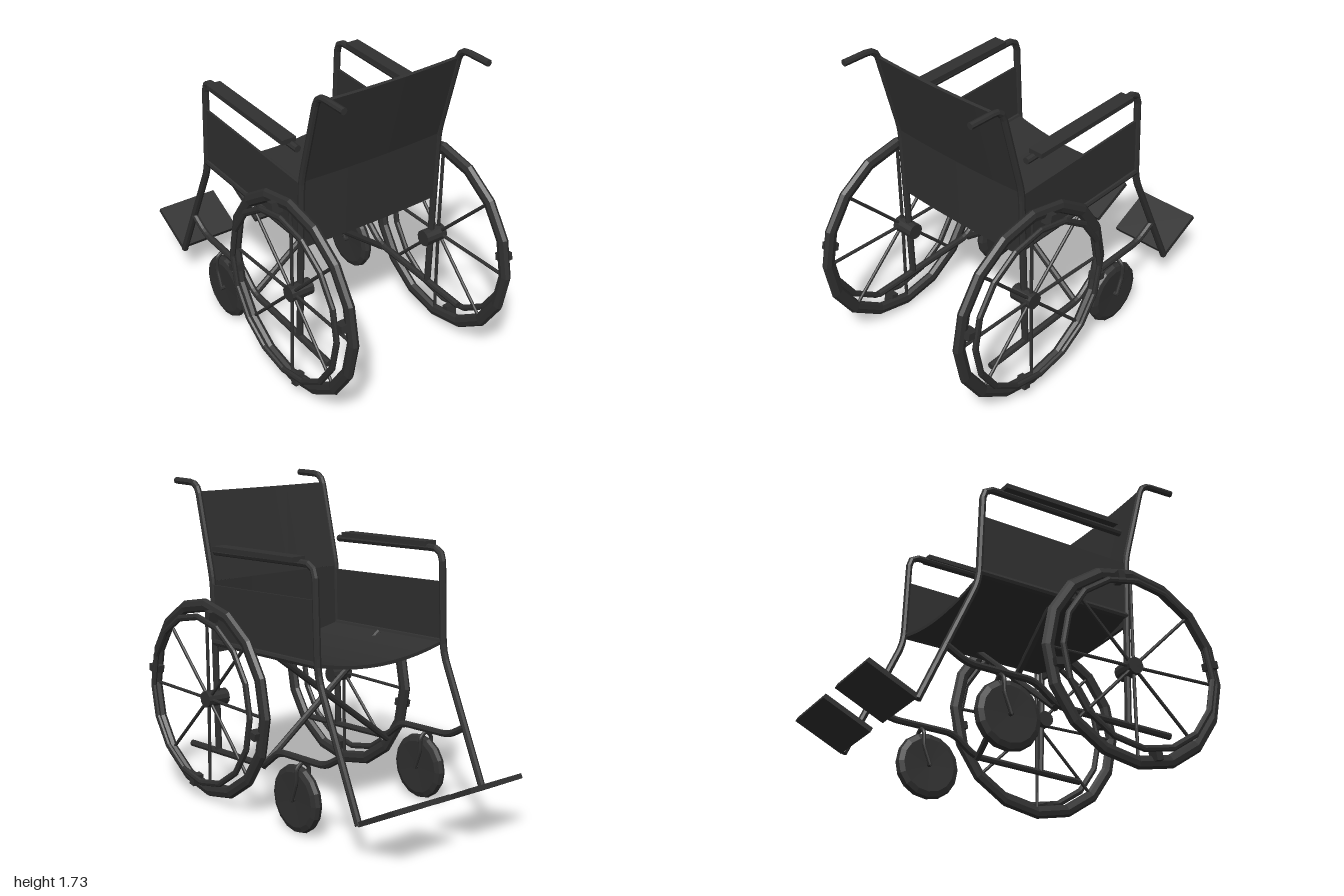
import * as THREE from 'three';
import { mergeGeometries } from 'three/addons/utils/BufferGeometryUtils.js';

const V = (x, y, z) => new THREE.Vector3(x, y, z);
const charcoal = new THREE.MeshStandardMaterial({ color: 0x303030, flatShading: true });
charcoal.name = 'charcoal';

function add(parent, name, geometry) {
  const mesh = new THREE.Mesh(geometry, charcoal);
  mesh.name = name;
  parent.add(mesh);
  return mesh;
}

// Capped tube through points, with every inner corner rounded by `bend`
function tube(points, radius = 0.018, bend = 0.06) {
  const path = new THREE.CurvePath();
  let from = points[0];
  for (let i = 1; i < points.length - 1; i++) {
    const p = points[i];
    const before = p.clone().add(points[i - 1].clone().sub(p).setLength(bend));
    const after = p.clone().add(points[i + 1].clone().sub(p).setLength(bend));
    path.add(new THREE.LineCurve3(from, before));
    path.add(new THREE.QuadraticBezierCurve3(before, p, after));
    from = after;
  }
  path.add(new THREE.LineCurve3(from, points[points.length - 1]));
  const parts = [new THREE.TubeGeometry(path, points.length > 2 ? 48 : 1, radius, 8)];
  for (const t of [0, 1]) {
    const out = path.getTangent(t).multiplyScalar(t ? 1 : -1);
    const cap = new THREE.CircleGeometry(radius, 8);
    cap.applyQuaternion(new THREE.Quaternion().setFromUnitVectors(V(0, 0, 1), out));
    const end = path.getPoint(t);
    parts.push(cap.translate(end.x, end.y, end.z));
  }
  return mergeGeometries(parts);
}

// Ring standing in the y-z plane, with its tube squashed across x
function ring(radius, thickness, halfWidth) {
  return new THREE.TorusGeometry(radius, thickness, 8, 16)
    .scale(1, 1, halfWidth / thickness).rotateY(Math.PI / 2);
}

// Large wheel with spokes, hub and push rim
function driveWheel(s) {
  const wheel = new THREE.Group();
  wheel.name = 'driveWheel';
  wheel.position.set(0, 0.565, 0.445);
  add(wheel, 'tyre', ring(0.514, 0.036, 0.025)).position.x = s * 0.482;
  add(wheel, 'pushRim', ring(0.458, 0.018, 0.014)).position.x = s * 0.537;
  add(wheel, 'hub', new THREE.CylinderGeometry(0.045, 0.045, 0.13, 12).rotateZ(Math.PI / 2)).position.x = s * 0.435;
  for (let i = 0; i < 8; i++) {
    const a = i * Math.PI / 4;
    add(wheel, 'spoke', tube([V(s * 0.475, 0, 0), V(s * 0.48, 0.49 * Math.sin(a), 0.49 * Math.cos(a))], 0.009));
  }
  for (let i = 0; i < 4; i++) {
    const a = i * Math.PI / 2 + 0.19;
    const clip = add(wheel, 'rimClip', new THREE.BoxGeometry(0.06, 0.04, 0.06));
    clip.position.set(s * 0.508, 0.478 * Math.sin(a), 0.478 * Math.cos(a));
    clip.rotation.x = -a;
  }
  return wheel;
}

// Small front wheel with a bent fork
function caster(s) {
  const group = new THREE.Group();
  group.name = 'caster';
  group.position.set(s * 0.425, 0.18, -0.262);
  const profile = [[0, -0.024], [0.145, -0.03], [0.172, -0.02], [0.18, 0], [0.172, 0.02], [0.145, 0.03], [0, 0.024]]
    .map(([r, h]) => new THREE.Vector2(r, h));
  add(group, 'casterWheel', new THREE.LatheGeometry(profile, 16).rotateZ(Math.PI / 2));
  for (const side of [-1, 1]) {
    add(group, 'forkArm', tube([V(0, 0.205, -0.042), V(side * 0.04, 0.175, -0.042),
      V(side * 0.04, 0.1, -0.04), V(side * 0.04, -0.005, 0)], 0.011, 0.02));
  }
  add(group, 'axle', new THREE.CylinderGeometry(0.012, 0.012, 0.095, 8).rotateZ(Math.PI / 2));
  return group;
}

// Everything on one side of the chair; s is +1 or -1
function sideFrame(s) {
  const side = new THREE.Group();
  side.name = s > 0 ? 'leftSide' : 'rightSide';
  const x = s * 0.424;
  const path = (list) => list.map(([y, z]) => V(x, y, z));

  add(side, 'backPost', tube(path([[1.71, 0.79], [1.71, 0.59], [1.2, 0.46], [0.26, 0.435]])));
  add(side, 'armrestTube', tube(path([[1.36, 0.43], [1.392, -0.405], [0.85, -0.425], [0.17, -0.735]]), 0.019, 0.07));
  add(side, 'seatRail', tube(path([[0.87, 0.45], [0.9, -0.42]]), 0.02));
  add(side, 'lowerRail', tube(path([[0.25, 0.69], [0.285, 0.02], [0.39, -0.11], [0.405, -0.48], [0.475, -0.6]]), 0.019, 0.05));

  const pad = add(side, 'armPad', new THREE.BoxGeometry(0.08, 0.026, 0.68));
  pad.position.set(s * 0.44, 1.397, 0.042);
  pad.rotation.x = 0.03;

  // Fabric skirt beside the seat
  const outline = new THREE.Shape([[-0.45, 0.87], [0.415, 0.9], [0.41, 1.22], [-0.45, 1.18]]
    .map(([a, b]) => new THREE.Vector2(a, b)));
  add(side, 'sidePanel', new THREE.ExtrudeGeometry(outline, { depth: 0.012, bevelEnabled: false })
    .rotateY(Math.PI / 2)).position.x = x - 0.006;

  const plate = add(side, 'footPlate', new THREE.BoxGeometry(0.365, 0.026, 0.285));
  plate.position.set(s * 0.252, 0.243, -0.866);
  plate.rotation.x = 0.47;

  side.add(driveWheel(s), caster(s));
  return side;
}

// Sagging fabric: a thin slab whose middle is pushed along one axis
function sling(width, height, depth, axis, sag) {
  const g = new THREE.BoxGeometry(width, height, depth, 10, 1, 1);
  const p = g.attributes.position;
  for (let i = 0; i < p.count; i++) {
    const k = 1 - (2 * p.getX(i) / width) ** 2;
    if (axis === 'y') p.setY(i, p.getY(i) + sag * k);
    else p.setZ(i, p.getZ(i) + sag * k);
  }
  g.computeVertexNormals();
  return g;
}

export function createModel() {
  const chair = new THREE.Group();
  chair.name = 'wheelchair';
  chair.add(sideFrame(1), sideFrame(-1));

  const seat = add(chair, 'seat', sling(0.84, 0.018, 0.87, 'y', -0.055));
  seat.position.set(0, 0.882, 0.02);
  seat.rotation.x = 0.034;

  // Backrest in two lengths, following the bend of the posts
  for (const [y0, z0, y1, z1] of [[0.815, 0.45, 1.2, 0.462], [1.2, 0.462, 1.665, 0.578]]) {
    const back = add(chair, 'backrest', sling(0.83, Math.hypot(y1 - y0, z1 - z0), 0.016, 'z', 0.012));
    back.position.set(0, (y0 + y1) / 2, (z0 + z1) / 2);
    back.rotation.x = Math.atan2(z1 - z0, y1 - y0);
  }

  // Folding cross brace
  for (const s of [-1, 1]) {
    add(chair, 'crossBrace', tube([V(-s * 0.38, 0.885, 0.02 + s * 0.015), V(s * 0.424, 0.272, 0.02 + s * 0.015)], 0.018));
  }
  return chair;
}
